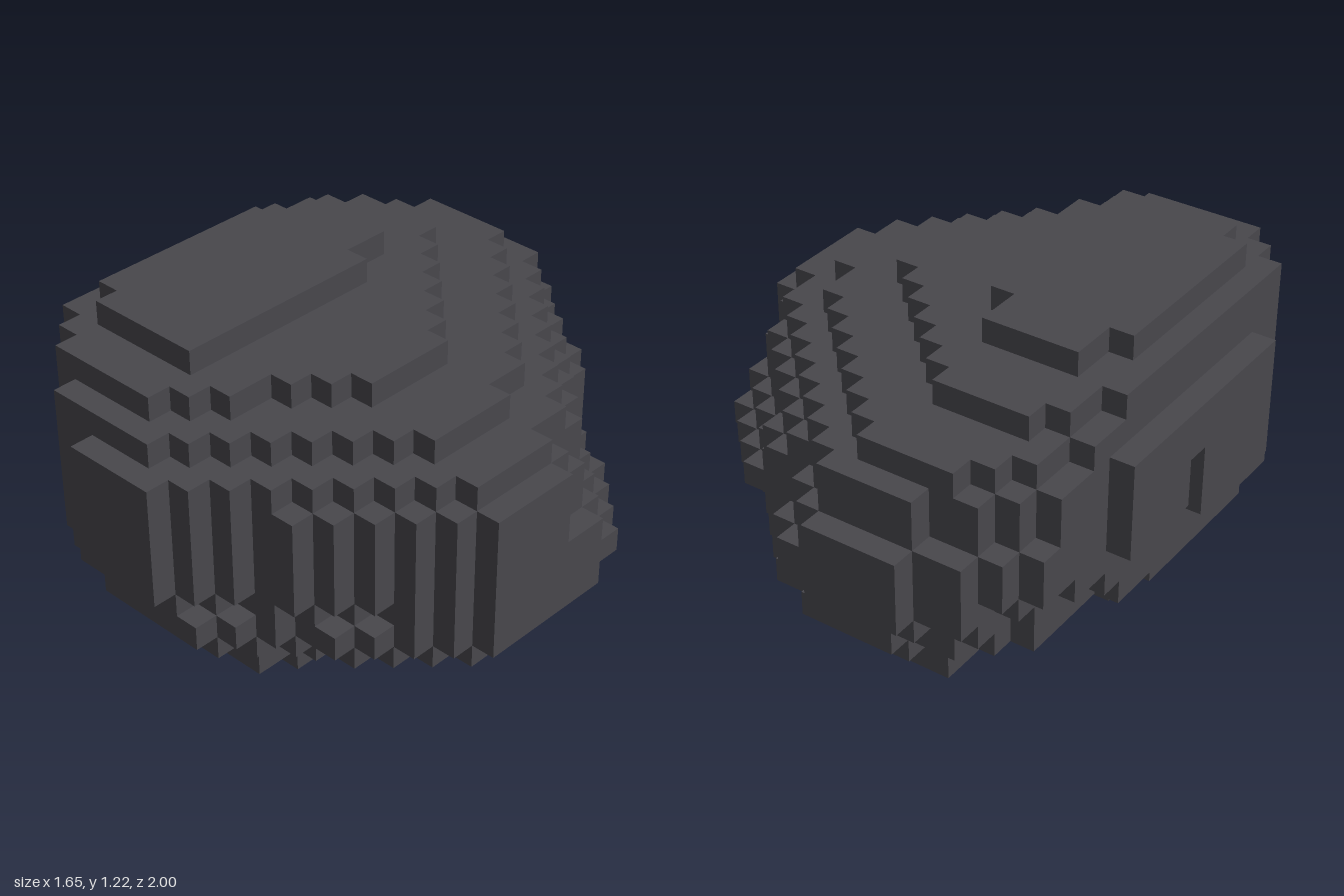
import * as THREE from 'three';
import { mergeGeometries } from 'three/addons/utils/BufferGeometryUtils.js';

const NX = 19, NZ = 23, CELL = 2 / NZ;

// Extent of each layer in cells, the middle of its ends (midX), where its straight
// +x and -x sides begin (sideZ, leftZ), and how full its back corners are
const layer = (back, front, minX, maxX, midX, sideZ, leftZ, fullness = 1.2) =>
  ({ back, front, minX, maxX, midX, sideZ, leftZ, fullness });

const layers = [ // bottom to top
  layer(12, 16, 6, 10, 8, 12, 13, 4),
  layer(8, 18, 4, 13, 8, 11, 11),
  layer(3, 19, 2, 15, 7, 8, 12, 0.5),
  layer(2, 20, 2, 17, 8, 9, 9, 0.8),
  layer(1, 21, 1, 18, 8, 9, 8),
  layer(1, 21, 1, 18, 7, 8, 7),
  layer(0, 22, 0, 18, 7, 9, 12),
  ...Array(2).fill(layer(0, 22, 0, 18, 7, 11, 7)), // widest belt
  layer(1, 22, 0, 18, 7, 11, 7),
  layer(1, 22, 0, 17, 7, 11, 7),
  layer(2, 21, 1, 15, 6, 11, 6),
  layer(5, 20, 1, 12, 5, 11, 8),
  layer(8, 18, 2, 7, 5, 10, 10, 2),
];

// Corner rule: distances past the two straight sides, 0 to 1, on a superellipse
function inCorner(x, xEnd, xFlat, z, zEnd, zFlat, power) {
  if (xEnd === xFlat || zEnd === zFlat) return true;
  const u = (x - xFlat) / (xEnd - xFlat);
  const v = (z - zFlat) / (zEnd - zFlat);
  return u <= 0 || v <= 0 || u ** power + v ** power <= 1.02;
}

function solid(x, y, z) {
  const l = layers[y];
  if (!l || x < l.minX || x > l.maxX || z < l.back || z > l.front) return false;
  // narrow slot in the flat -x side
  if (x === 0 && z === 11 && y < 9) return false;
  const { back, front, minX, maxX, midX, sideZ, leftZ, fullness } = l;
  const leftEnd = Math.min(minX ? 18 : 16, front - 1);
  const noseStart = midX - (front === 22 ? 1 : 2); // the foremost faces are narrower
  return inCorner(x, maxX, midX + 1, z, back, sideZ, fullness)
    && inCorner(x, maxX, midX + 2, z, front, 14, 1.1)
    && inCorner(x, minX, midX - 2, z, back, leftZ, fullness * 1.6)
    && inCorner(x, minX, noseStart, z, front, leftEnd, 1.6);
}

// One square for each of the six directions a cell can be exposed in
const faces = ['x', 'y', 'z'].flatMap((axis) => [1, -1].map((sign) => {
  const dir = new THREE.Vector3();
  dir[axis] = sign;
  const turn = new THREE.Quaternion().setFromUnitVectors(new THREE.Vector3(0, 0, 1), dir);
  const geometry = new THREE.PlaneGeometry(CELL, CELL).translate(0, 0, CELL / 2).applyQuaternion(turn);
  return { dir, geometry };
}));

export function createModel() {
  const boulder = new THREE.Group();
  boulder.name = 'boulder';
  const stone = new THREE.MeshStandardMaterial({ color: 0x48474c });
  stone.name = 'dark stone';

  // Stack the layers, keeping only the exposed cell faces
  layers.forEach((_, y) => {
    const parts = [];
    for (let x = 0; x < NX; x++) {
      for (let z = 0; z < NZ; z++) {
        if (!solid(x, y, z)) continue;
        for (const { dir, geometry } of faces) {
          if (solid(x + dir.x, y + dir.y, z + dir.z)) continue;
          parts.push(geometry.clone().translate(
            (x + 0.5 - NX / 2) * CELL, (y + 0.5) * CELL, (z + 0.5 - NZ / 2) * CELL));
        }
      }
    }
    const mesh = new THREE.Mesh(mergeGeometries(parts), stone);
    mesh.name = `stoneLayer${y + 1}`;
    boulder.add(mesh);
  });
  return boulder;
}
